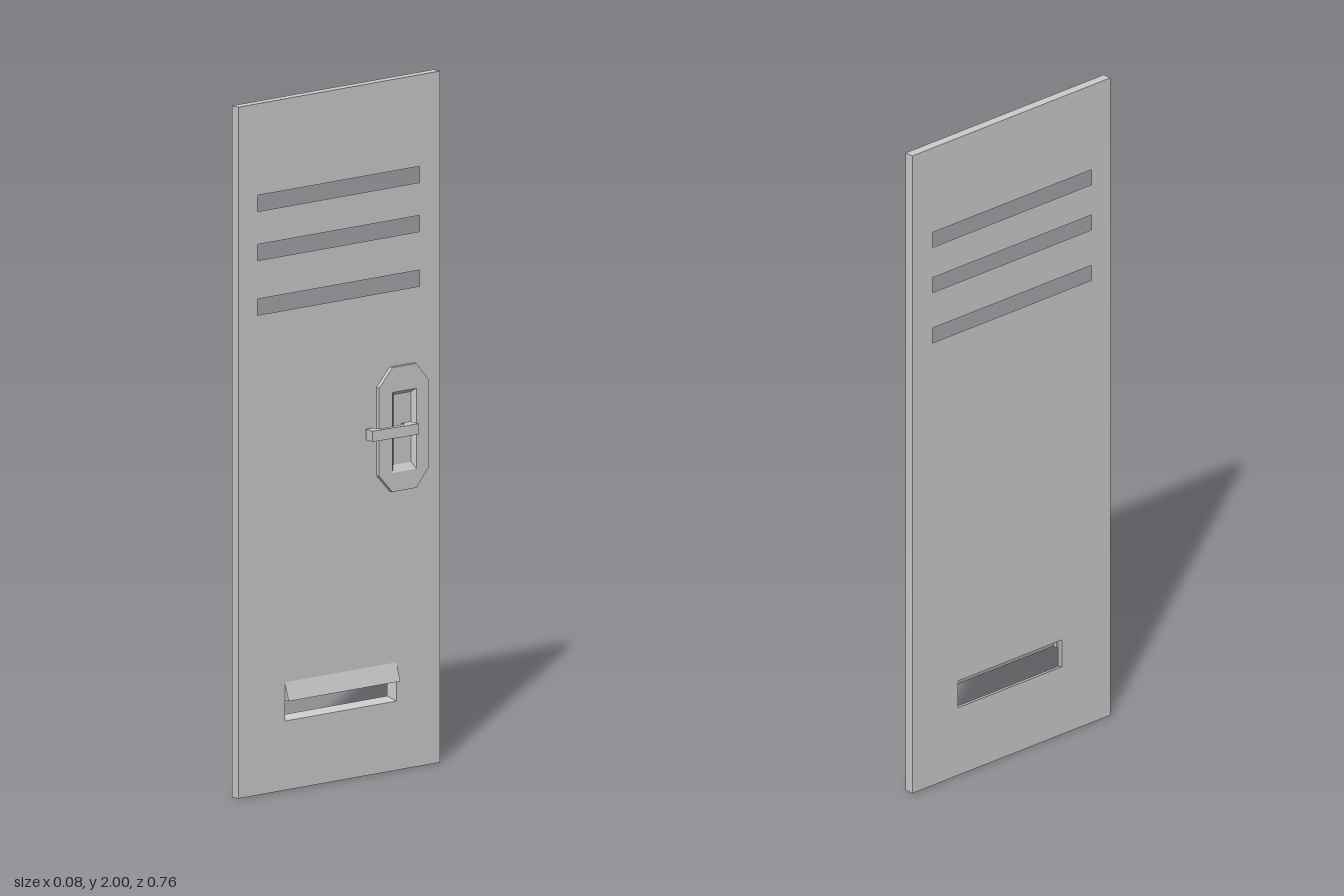
import * as THREE from 'three';

const mat = new THREE.MeshStandardMaterial({ color: 0xcccccc, flatShading: true });
const thin = new THREE.MeshStandardMaterial({ color: 0xcccccc, flatShading: true, side: THREE.DoubleSide });

const BACK = -0.04, FACE = -0.012, PLATE = 0;

// Corners of a rectangle as [z, y]
const rect = (z0, z1, y0, y1) => [[z0, y0], [z1, y0], [z1, y1], [z0, y1]];

function mesh(name, geometry, material = mat) {
  const m = new THREE.Mesh(geometry, material);
  m.name = name;
  return m;
}

// Flat panel in the zy plane, from x0 to x1, with holes cut through
function panel(outline, holes, x0, x1) {
  const toVec = ([z, y]) => new THREE.Vector2(-z, y);
  const shape = new THREE.Shape(outline.map(toVec));
  shape.holes = holes.map(h => new THREE.Path(h.map(toVec)));
  return new THREE.ExtrudeGeometry(shape, { depth: x1 - x0, bevelEnabled: false })
    .rotateY(Math.PI / 2)
    .translate(x0, 0, 0);
}

// Profile in the xy plane, extruded along z
function profile(points, z0, z1) {
  const shape = new THREE.Shape(points.map(([x, y]) => new THREE.Vector2(x, y)));
  return new THREE.ExtrudeGeometry(shape, { depth: z1 - z0, bevelEnabled: false }).translate(0, 0, z0);
}

// Sloping walls joining rectangles at successive depths
function reveal(loops) {
  const pos = [], index = [];
  loops.forEach(([x, corners]) => corners.forEach(([z, y]) => pos.push(x, y, z)));
  for (let i = 0; i < loops.length - 1; i++) {
    for (let j = 0; j < 4; j++) {
      const a = i * 4 + j, b = i * 4 + (j + 1) % 4;
      index.push(a, b, b + 4, a, b + 4, a + 4);
    }
  }
  const g = new THREE.BufferGeometry();
  g.setAttribute('position', new THREE.Float32BufferAttribute(pos, 3));
  g.setIndex(index);
  const flat = g.toNonIndexed();
  flat.computeVertexNormals();
  return flat;
}

export function createModel() {
  const model = new THREE.Group();
  model.name = 'lockerDoor';

  // Door sheet with three upper vents and one lower vent
  const vents = [1.688, 1.546, 1.388].map(y => rect(-0.303, 0.307, y, y + 0.047));
  const lowerHole = rect(-0.215, 0.205, 0.2, 0.305);
  model.add(mesh('doorPanel', panel(rect(-0.38, 0.38, 0, 2), [...vents, lowerHole], BACK, FACE)));

  // Sloped inside of the lower vent
  const lowerInner = rect(-0.204, 0.194, 0.212, 0.296);
  model.add(mesh('lowerVentReveal', reveal([[FACE, lowerHole], [BACK, lowerInner], [BACK, lowerHole]]), thin));

  // Hood over the lower vent: sloping sheet and two triangular cheeks
  const hood = new THREE.Group();
  hood.name = 'lowerVentHood';
  hood.add(mesh('hoodSheet',
    profile([[FACE, 0.312], [FACE, 0.3], [0.001, 0.26], [0.005, 0.26]], -0.215, 0.205)));
  for (const z of [-0.215, 0.199]) {
    hood.add(mesh('hoodCheek', profile([[FACE, 0.3], [FACE, 0.26], [0.001, 0.26]], z, z + 0.006)));
  }
  model.add(hood);

  // Octagonal latch plate with a recessed window
  const octagon = [
    [-0.19, 0.81], [-0.14, 0.862], [-0.14, 1.118], [-0.19, 1.17],
    [-0.28, 1.17], [-0.325, 1.118], [-0.325, 0.862], [-0.28, 0.81],
  ];
  const windowRect = rect(-0.28, -0.19, 0.865, 1.098);
  model.add(mesh('latchPlate', panel(octagon, [windowRect], FACE, PLATE)));
  model.add(mesh('latchRecess',
    reveal([[PLATE, windowRect], [FACE + 0.0005, rect(-0.27, -0.203, 0.885, 1.088)]]), thin));

  // Latch handle: C-shaped grip drawn from above as [x, z]
  const grip = [
    [0, -0.257], [0.038, -0.257], [0.038, -0.22], [0.031, -0.088], [-0.003, -0.092],
    [-0.003, -0.121], [0.02, -0.124], [0.017, -0.224], [0, -0.222],
  ];
  const gripShape = new THREE.Shape(grip.map(([x, z]) => new THREE.Vector2(x, -z)));
  const gripGeometry = new THREE.ExtrudeGeometry(gripShape, { depth: 0.031, bevelEnabled: false })
    .rotateX(-Math.PI / 2)
    .translate(0, 0.974, 0);
  model.add(mesh('latchHandle', gripGeometry));

  return model;
}
